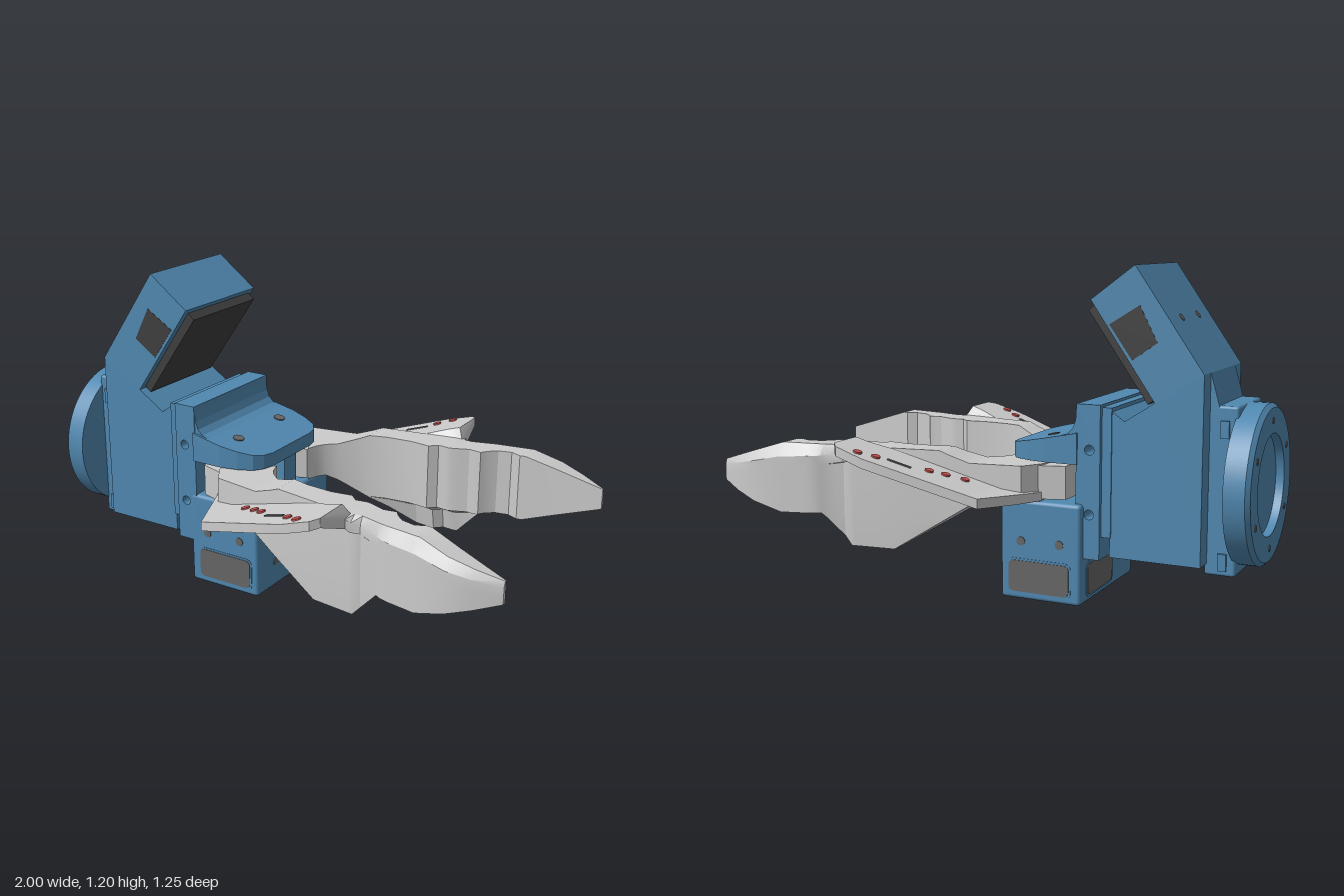
import * as THREE from 'three';
import { RoundedBoxGeometry } from 'three/addons/geometries/RoundedBoxGeometry.js';
import { toCreasedNormals } from 'three/addons/utils/BufferGeometryUtils.js';

const mat = color => new THREE.MeshStandardMaterial({ color });
const blue = mat(0x5088b0), grey = mat(0xcccccc), dark = mat(0x666666), black = mat(0x3f3f3f), red = mat(0xc05050);

function add(parent, name, geo, material, x = 0, y = 0, z = 0) {
  const m = new THREE.Mesh(geo, material);
  m.name = name;
  m.position.set(x, y, z);
  parent.add(m);
  return m;
}

// Box given by its min and max corners
const box = (parent, name, material, x0, x1, y0, y1, z0, z1, r = 0) => add(parent, name,
  r ? new RoundedBoxGeometry(x1 - x0, y1 - y0, z1 - z0, 2, r) : new THREE.BoxGeometry(x1 - x0, y1 - y0, z1 - z0),
  material, (x0 + x1) / 2, (y0 + y1) / 2, (z0 + z1) / 2);

// Side profile (x, y) extruded across z, with optional round holes [x, y, r]
function prism(parent, name, material, pts, z0, z1, holes = []) {
  const shape = new THREE.Shape(pts.map(p => new THREE.Vector2(...p)));
  for (const [x, y, r] of holes) shape.holes.push(new THREE.Path().absarc(x, y, r, 0, Math.PI * 2, true));
  const geo = new THREE.ExtrudeGeometry(shape, { depth: z1 - z0, bevelEnabled: false, curveSegments: 10 });
  return add(parent, name, geo, material, 0, 0, z0);
}

// Thin plate with rounded corners, centred at the origin and facing z
function roundedPlate(w, h, r, depth) {
  const s = new THREE.Shape(), x = w / 2 - r, y = h / 2 - r;
  s.absarc(x, y, r, 0, Math.PI / 2).absarc(-x, y, r, Math.PI / 2, Math.PI);
  s.absarc(-x, -y, r, Math.PI, Math.PI * 1.5).absarc(x, -y, r, Math.PI * 1.5, Math.PI * 2);
  return new THREE.ExtrudeGeometry(s, { depth, bevelEnabled: false, curveSegments: 5 }).translate(0, 0, -depth / 2);
}

// Short round bolt whose axis follows dir
function bolt(parent, name, material, r, h, pos, dir) {
  const m = add(parent, name, new THREE.CylinderGeometry(r, r, h, 20), material, ...pos);
  m.quaternion.setFromUnitVectors(new THREE.Vector3(0, 1, 0), new THREE.Vector3(...dir).normalize());
  return m;
}

// Piecewise linear lookup
function at(pts, x) {
  if (x <= pts[0][0]) return pts[0][1];
  for (let i = 1; i < pts.length; i++) {
    const [xa, a] = pts[i - 1], [xb, b] = pts[i];
    if (x <= xb) return a + (b - a) * (x - xa) / (xb - xa);
  }
  return pts[pts.length - 1][1];
}

// Finger outlines along x: plan edges (z) and side edges (y)
const inner = [[-.25, .2], [-.13, .18], [-.085, .11], [-.07, .155], [-.05, .185], [-.01, .22], [.06, .255], [.11, .275],
  [.165, .29], [.27, .3], [.35, .29], [.38, .318], [.43, .312], [.5, .34], [.55, .333], [.57, .36], [.6, .385],
  [.65, .397], [.69, .38], [.83, .41], [1, .44]];
const outer = [[-.25, .27], [-.13, .53], [.27, .625], [.38, .617], [.405, .59], [.425, .465], [.47, .44], [.53, .457],
  [.58, .485], [.82, .517], [.91, .495], [1, .455]];
const ridge = [[-.25, .25], [-.2, .33], [.4, .43], [.47, .425], [.56, .45], [.82, .49], [.91, .475], [1, .447]];
const low = [[-.25, .265], [-.2, .34], [.27, .422], [.44, .443], [.47, .437], [.53, .457], [.58, .485],
  [.82, .517], [.91, .495], [1, .455]];
const top = [[-.25, .5], [0, .5], [.1, .54], [.71, .54], [1, .45]];
const wing = [[-.25, .4], [-.13, .415], [.405, .578], [.43, .52], [.55, .5], [.71, .49], [1, .43]];
const bottom = [[-.05, .37], [.27, .168], [.44, .168], [.55, .285], [.71, .28], [1, .37]];
const stations = [-.25, -.2, -.13, -.085, -.07, -.05, -.01, .06, .1, .165, .27, .35, .38, .405, .425, .44, .47, .5,
  .53, .55, .57, .6, .65, .69, .71, .82, .91, 1];

// Cross-section of a finger, inner top edge round to inner bottom edge, as (z, y):
// a thin wing overhangs an upright wall that reaches down to the lower prong
function section(x) {
  const zi = at(inner, x), zr = at(ridge, x), zo = at(outer, x), zl = at(low, x);
  const yt = at(top, x), yw = at(wing, x), yb = at(bottom, x);
  const k = Math.min(1, Math.max(0, (.28 - yb) / .11)), ym = Math.max(yb, .28);
  const yu = Math.max(yw - .035, ym);
  const step = x > .42 ? [zr, yt] : [zr + (yw > yt ? .02 : .002), yw];
  return [[zi, yt], [zr, yt], step, [zo, yw], [zo, yu], [zl, yu - .002], [zl, ym], [zl - .006 * k, yb],
    [zi + .07 * k, yb], [zi + .055 * k, yb + .75 * (ym - yb)], [zi, ym]];
}

function fingerGeometry(s) {
  const pos = [], idx = [], n = section(0).length, last = (stations.length - 1) * n;
  const tri = (a, b, c) => (s > 0 ? idx.push(a, b, c) : idx.push(a, c, b));
  for (const x of stations) for (const [z, y] of section(x)) pos.push(x, y, z * s);
  for (let i = 0; i < last; i += n) for (let j = 0; j < n; j++) {
    const a = i + j, b = i + (j + 1) % n;
    tri(a, b, a + n);
    tri(b, b + n, a + n);
  }
  for (let j = 1; j < n - 1; j++) {
    tri(0, j + 1, j);
    tri(last, last + j, last + j + 1);
  }
  const geo = new THREE.BufferGeometry();
  geo.setAttribute('position', new THREE.Float32BufferAttribute(pos, 3));
  geo.setIndex(idx);
  return toCreasedNormals(geo, .45);
}

function makeFinger(s) {
  const g = new THREE.Group();
  g.name = s > 0 ? 'frontFinger' : 'backFinger';
  add(g, 'fingerBody', fingerGeometry(s), grey);
  // Knuckle held between jaw and base
  const plan = [[-.34, .08], [-.2, .06], [-.09, .11], [-.06, .19], [-.13, .3], [-.24, .27], [-.33, .24]];
  const shape = new THREE.Shape(plan.map(([x, z]) => new THREE.Vector2(x, -z * s)));
  const geo = new THREE.ExtrudeGeometry(shape, { depth: .12, bevelEnabled: false }).rotateX(-Math.PI / 2);
  add(g, 'knuckle', geo, grey, 0, .375, 0);
  bolt(g, 'pivot', grey, .06, .15, [-.24, .435, .14 * s], [0, 1, 0]);
  // Markers and slot on the sloping wing
  for (const [x, z] of [[-.02, .41], [.04, .44], [.09, .47], [.255, .555], [.31, .585]])
    bolt(g, 'marker', red, .016, .012, [x, at(wing, x), z * s], [-.29, 1, 0]);
  const slot = add(g, 'slot', new THREE.BoxGeometry(.09, .006, .014), dark, .18, at(wing, .18), .522 * s);
  slot.rotation.set(0, -.2 * s, .29);
  return g;
}

export function createModel() {
  const g = new THREE.Group();
  g.name = 'gripper';

  // Mounting flange with a recessed back; doubled points keep the rim edges sharp
  const ring = [[0, .03], [.18, .03], [.18, 0], [.27, 0], [.285, .015], [.285, .09], [0, .09]];
  const profile = ring.flatMap(p => [new THREE.Vector2(...p), new THREE.Vector2(...p)]).slice(1, -1);
  add(g, 'flange', new THREE.LatheGeometry(profile, 64).rotateZ(-Math.PI / 2), blue, -1, .445, 0);
  for (let i = 0; i < 6; i++) {
    const a = (i + .5) * Math.PI / 3;
    bolt(g, 'flangeBolt', dark, .012, .004, [-1, .445 + .225 * Math.sin(a), .225 * Math.cos(a)], [1, 0, 0]);
  }
  box(g, 'flangeBracket', blue, -.92, -.81, .14, .73, -.145, .145, .01);
  for (const y of [.19, .65]) box(g, 'bracketNut', blue, -.89, -.86, y - .03, y + .03, -.155, .155);

  // Main body with the neck that carries the display
  prism(g, 'body', blue, [[-.82, .18], [-.49, .18], [-.49, .7], [-.54, .665], [-.64, .73], [-.82, .84]], -.22, .22);
  prism(g, 'neck', blue, [[-.86, .7], [-.8, .7], [-.8, .83], [-.82, .84]], -.145, .145);
  box(g, 'spacer', blue, -.495, -.455, .25, .71, -.225, .225);

  // Tilted display
  prism(g, 'displayCase', blue, [[-.655, .725], [-.41, 1.08], [-.57, 1.2], [-.82, .84]], -.22, .22);
  prism(g, 'displayScreen', black, [[-.64, .745], [-.615, .725], [-.393, 1.042], [-.418, 1.065]], -.195, .195);
  prism(g, 'displaySideWindow', black, [[-.655, .94], [-.565, .877], [-.48, .997], [-.59, 1.065]], -.221, .221);
  for (const z of [-.09, .09]) bolt(g, 'displayBolt', dark, .014, .004, [-.695, 1.02, z], [-.82, .57, 0]);

  // Upright plate with cross holes and a fillet into the jaw
  prism(g, 'uprightPlate', blue, [[-.46, .17], [-.37, .17], [-.37, .72], [-.46, .72]], -.243, .243,
    [[-.42, .56, .018], [-.42, .33, .018]]);
  prism(g, 'jawFillet', blue, [[-.372, .51], [-.3, .51], [-.3, .601], [-.335, .612], [-.355, .632], [-.366, .66], [-.372, .715]], -.24, .24);

  // Upper jaw, sloping down to the fingers
  const half = [[-.375, .25], [-.25, .25], [-.18, .235], [-.125, .21], [-.1, .175], [-.09, .13]];
  const plan = [...half, ...half.map(([x, z]) => [x, -z]).reverse()];
  const jaw = new THREE.ExtrudeGeometry(new THREE.Shape(plan.map(p => new THREE.Vector2(...p))),
    { depth: 1, bevelEnabled: false }).rotateX(-Math.PI / 2);
  const p = jaw.attributes.position;
  for (let i = 0; i < p.count; i++) p.setY(i, p.getY(i) > .5 ? .61 - .21 * (p.getX(i) + .34) : .505);
  jaw.computeVertexNormals();
  add(g, 'upperJaw', jaw, blue);
  for (const z of [-.14, .14]) bolt(g, 'jawPin', dark, .022, .008, [-.24, .589, z], [.21, 1, 0]);
  box(g, 'centrePillar', blue, -.37, -.095, .35, .52, -.038, .045);

  // Base housing with windows and bolts
  box(g, 'baseHousing', blue, -.4, -.09, 0, .365, -.27, .245, .014);
  for (const z of [-.27, .245]) {
    add(g, 'sideWindowFrame', roundedPlate(.25, .13, .024, .004), blue, -.24, .086, z);
    add(g, 'sideWindow', roundedPlate(.235, .115, .02, .008), dark, -.24, .086, z);
    for (const x of [-.32, -.17]) bolt(g, 'sideBolt', dark, .016, .006, [x, .215, z], [0, 0, 1]);
  }
  for (const x of [-.4, -.09]) {
    add(g, 'endWindowFrame', roundedPlate(.252, .13, .024, .004).rotateY(Math.PI / 2), blue, x, .084, -.087);
    add(g, 'endWindow', roundedPlate(.236, .115, .02, .008).rotateY(Math.PI / 2), dark, x, .084, -.087);
  }
  for (const [z, y] of [[.12, .215], [-.1, .215], [.12, .105]]) bolt(g, 'endBolt', dark, .015, .006, [-.09, y, z], [1, 0, 0]);
  box(g, 'bottomPanel', black, -.375, -.115, -.001, .005, -.24, .215);

  for (const s of [-1, 1]) g.add(makeFinger(s));
  return g;
}
